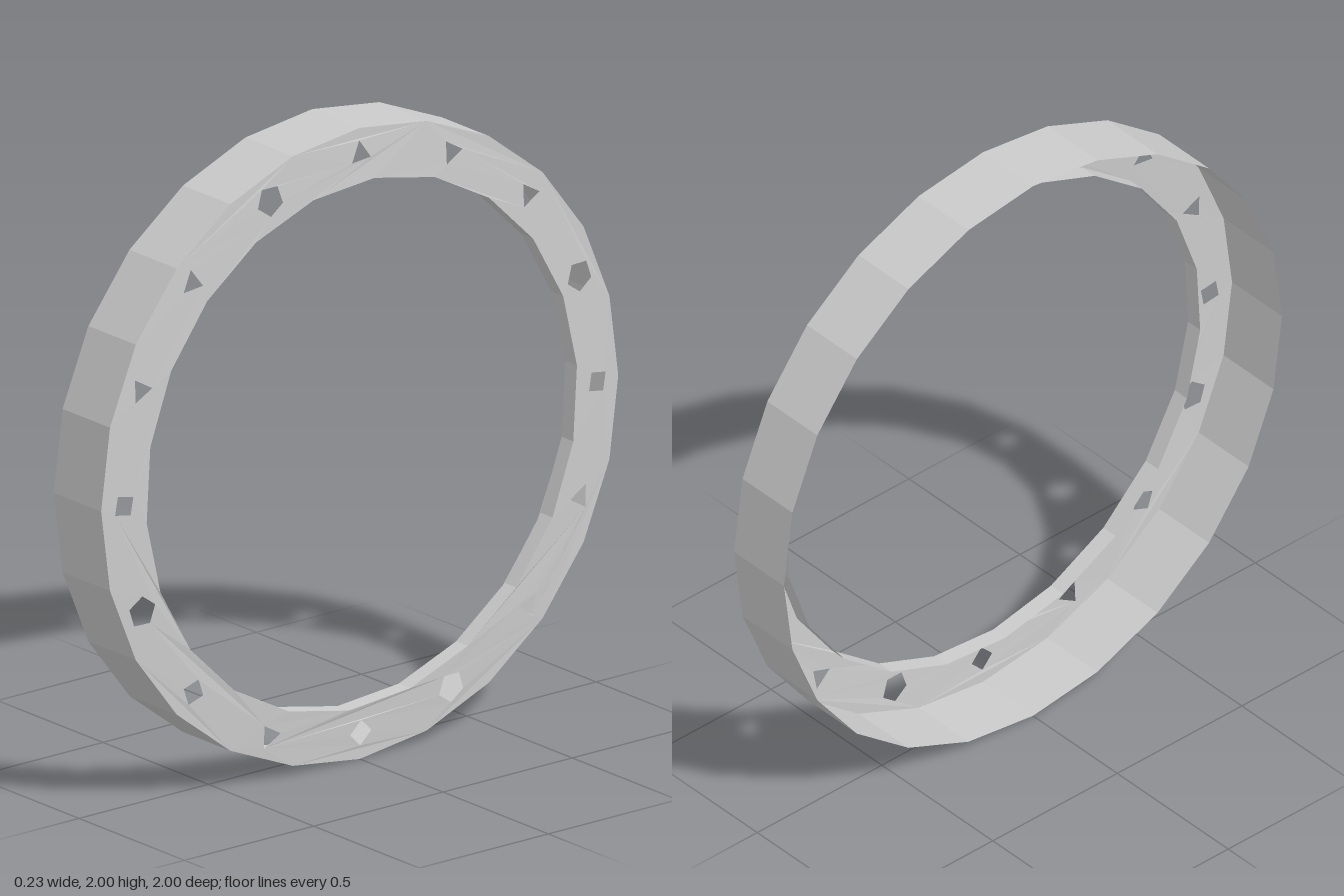
import * as THREE from 'three';

const OUTER = 1, INNER = 0.835, SIDES_OUT = 24, SIDES_IN = 22;
const BACK = -0.12, EDGE = 0.105, FACE = 0.115, LIP_DEPTH = 0.055;
const INNER_TURN = -3.4; // degrees

// [corners, turn in degrees] of each hole, anticlockwise from the top
const HOLES = [
  [3, 95], [5, 55], [3, 97], [3, 0], [4, 35], [5, 90], [4, 65], [3, 0],
  [4, 90], [5, 55], [3, 50], [3, 60], [4, 35], [5, 55], [3, 0], [3, 0],
];
const HOLE_SIZE = { 3: 0.042, 4: 0.041, 5: 0.05 };
const HOLE_RADIUS = { 3: 0.92, 4: 0.915, 5: 0.915 };

const rad = THREE.MathUtils.degToRad;

function polygon(n, radius, turn, cx = 0, cy = 0) {
  return Array.from({ length: n }, (_, i) => {
    const a = rad(turn) + (i / n) * Math.PI * 2;
    return new THREE.Vector2(cx + radius * Math.cos(a), cy + radius * Math.sin(a));
  });
}

// Open tube along z
function tube(radius, sides, z0, z1, turn) {
  return new THREE.CylinderGeometry(radius, radius, z1 - z0, sides, 1, true)
    .rotateX(Math.PI / 2)
    .rotateZ(rad(turn))
    .translate(0, 0, (z0 + z1) / 2);
}

// Flat ring with the irregular holes, slightly raised towards the centre
function flange() {
  const shape = new THREE.Shape(polygon(SIDES_OUT, OUTER, 0));
  shape.holes.push(new THREE.Path(polygon(SIDES_IN, INNER, 90 + INNER_TURN)));
  HOLES.forEach(([n, turn], i) => {
    const a = rad(90 + i * 360 / HOLES.length), r = HOLE_RADIUS[n];
    shape.holes.push(new THREE.Path(
      polygon(n, HOLE_SIZE[n], turn, r * Math.cos(a), r * Math.sin(a))));
  });
  const geo = new THREE.ShapeGeometry(shape);
  const p = geo.attributes.position;
  for (let i = 0; i < p.count; i++) {
    const t = (OUTER - Math.hypot(p.getX(i), p.getY(i))) / (OUTER - INNER);
    p.setZ(i, THREE.MathUtils.lerp(EDGE, FACE, THREE.MathUtils.clamp(t, 0, 1)));
  }
  geo.computeVertexNormals();
  return geo;
}

export function createModel() {
  const group = new THREE.Group();
  group.name = 'perforatedRing';
  const material = new THREE.MeshStandardMaterial({
    color: 0xcccccc, flatShading: true, side: THREE.DoubleSide,
  });

  const parts = {
    outerWall: tube(OUTER, SIDES_OUT, BACK, EDGE, 0),
    flange: flange(),
    innerLip: tube(INNER, SIDES_IN, FACE - LIP_DEPTH, FACE, INNER_TURN),
  };
  for (const [name, geo] of Object.entries(parts)) {
    // Turn the ring's axis onto x and stand it on the ground
    geo.rotateY(Math.PI / 2).translate(0, 1, 0);
    const mesh = new THREE.Mesh(geo, material);
    mesh.name = name;
    group.add(mesh);
  }
  return group;
}
